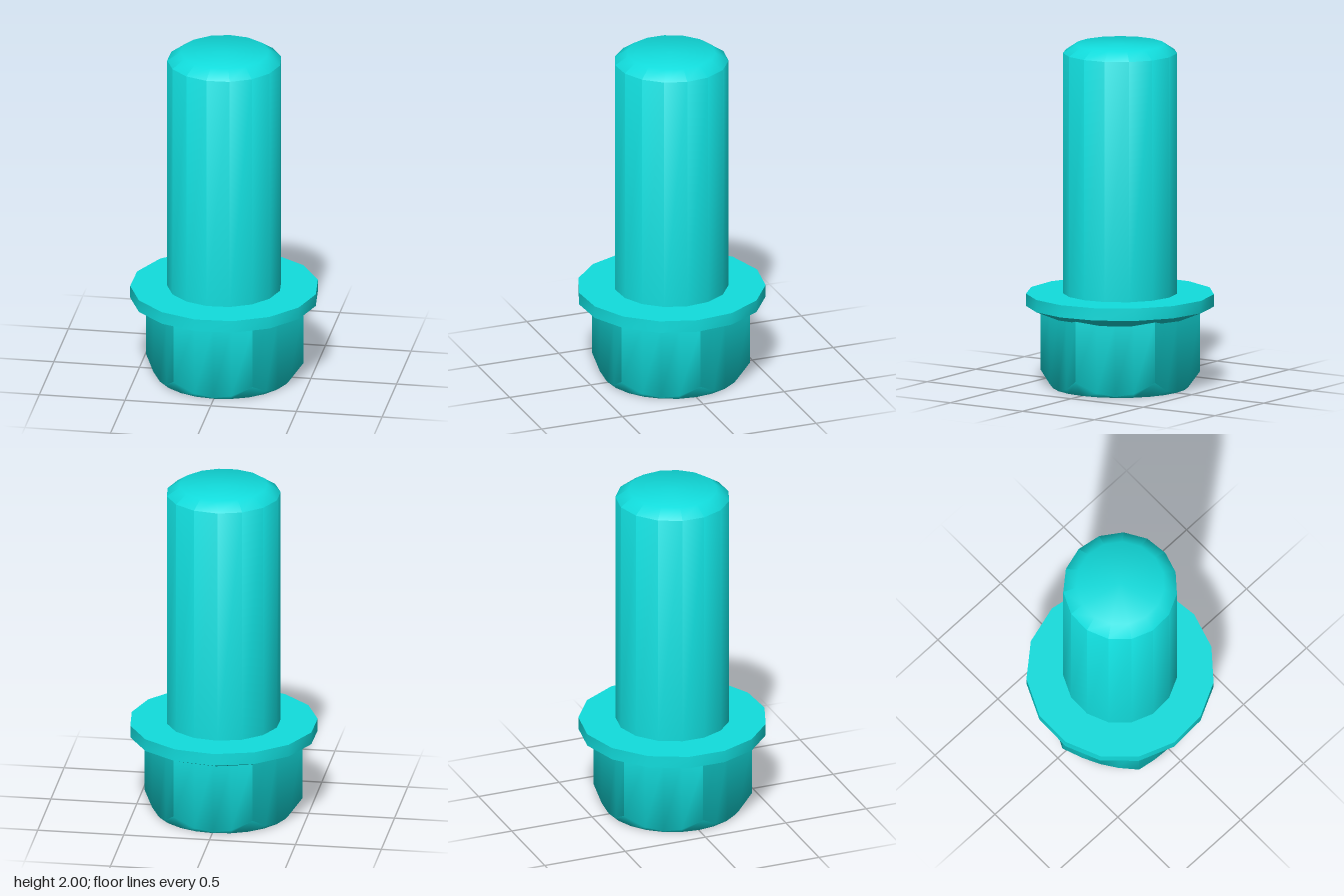
import * as THREE from 'three';
import { toCreasedNormals } from 'three/addons/utils/BufferGeometryUtils.js';

const material = new THREE.MeshStandardMaterial({ color: 0x11dddd });
const rad = THREE.MathUtils.degToRad;

// Slightly uneven 15-sided outline shared by the shank and the flange
const roundAngles = Array.from({ length: 15 }, (_, i) =>
  rad(i < 6 ? -167.5 + 24.9 * i : -18.2 + 23.4 * (i - 6)));
// 24 steps for the hexagonal head, with corners on every fourth one
const headAngles = Array.from({ length: 24 }, (_, i) => rad(15 * i));

// Joins rings into a skin and closes both ends; each ring maps an angle to [radius, height]
function loft(name, angles, rings) {
  const n = angles.length, pos = [], index = [];
  for (const ring of rings) {
    for (const a of angles) {
      const [r, y] = ring(a);
      pos.push(r * Math.cos(a), y, r * Math.sin(a));
    }
  }
  const bottom = rings.length * n, top = bottom + 1, last = (rings.length - 1) * n;
  pos.push(0, rings[0](0)[1], 0, 0, rings[rings.length - 1](0)[1], 0);
  for (let j = 0; j < n; j++) {
    const k = (j + 1) % n;
    for (let i = 0; i < last; i += n) {
      index.push(i + j, i + n + j, i + k, i + k, i + n + j, i + n + k);
    }
    index.push(bottom, j, k, top, last + k, last + j);
  }
  const geometry = new THREE.BufferGeometry();
  geometry.setAttribute('position', new THREE.Float32BufferAttribute(pos, 3));
  geometry.setIndex(index);
  const mesh = new THREE.Mesh(toCreasedNormals(geometry, 1.02), material);
  mesh.name = name;
  return mesh;
}

const circle = (r, y) => () => [r, y];

// Distance from the axis to the hexagon's side at an angle
const apothem = 0.398, sector = Math.PI / 3;
const hexRadius = (a) => apothem / Math.cos((a % sector) - sector / 2);

export function createModel() {
  const bolt = new THREE.Group();
  bolt.name = 'flangeBolt';

  // Threadless shank with a chamfered tip
  bolt.add(loft('shank', roundAngles, [circle(0.33, 0.5), circle(0.33, 1.95), circle(0.255, 2)]));

  // Flange with a conical underside
  bolt.add(loft('flange', roundAngles, [circle(0.36, 0.4), circle(0.543, 0.475), circle(0.543, 0.547)]));

  // Hexagonal head: shallow round recess, flat rim, chamfered corners, straight sides
  bolt.add(loft('hexHead', headAngles, [
    circle(0.29, 0.045),
    circle(0.29, 0),
    circle(0.393, 0),
    (a) => [hexRadius(a), 0.005 + (hexRadius(a) - apothem) * 1.4],
    (a) => [hexRadius(a), 0.455],
  ]));

  for (const part of bolt.children) part.position.x = -0.004;
  return bolt;
}
